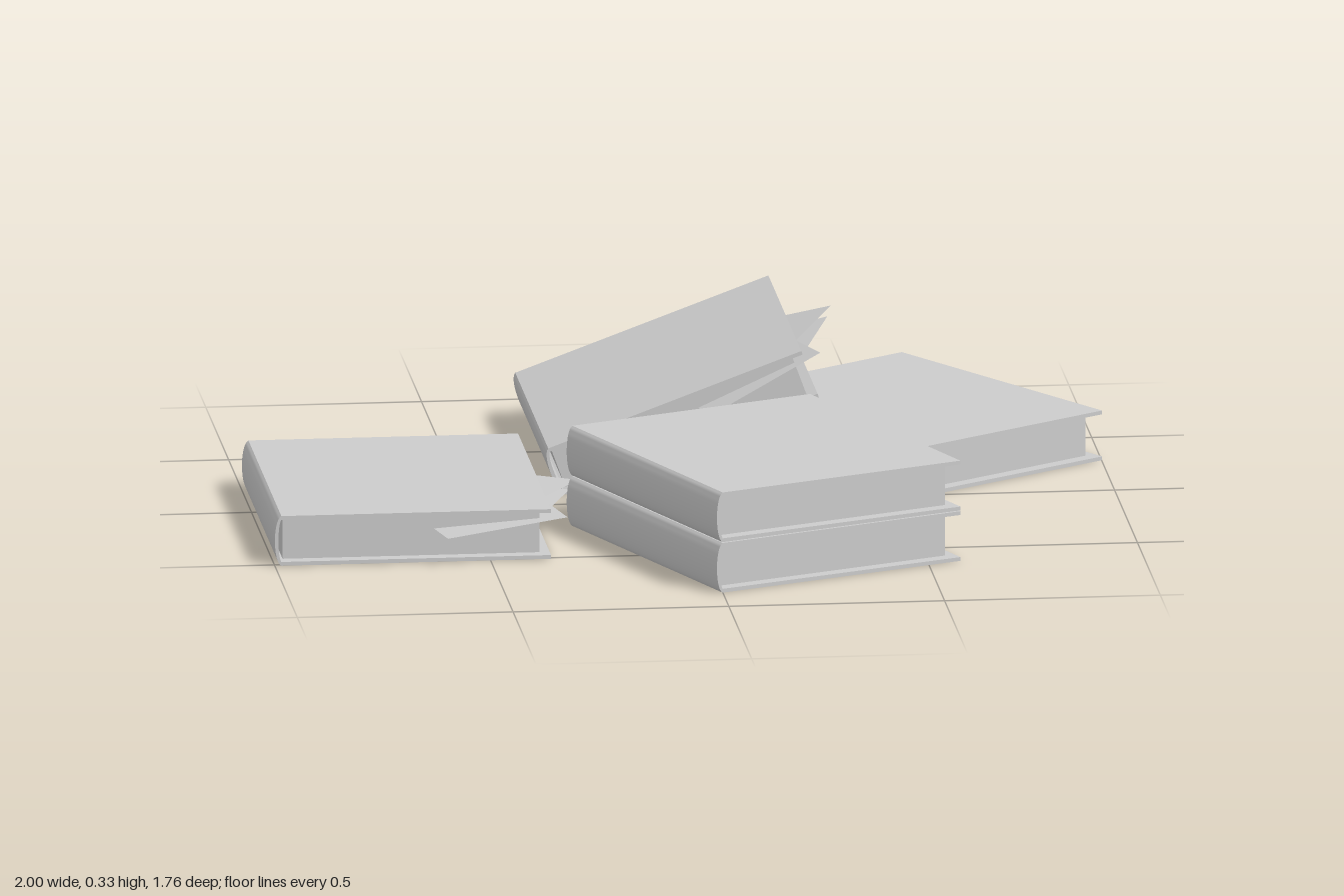
import * as THREE from 'three';
import { toCreasedNormals } from 'three/addons/utils/BufferGeometryUtils.js';

const H = 0.118, T = 0.009, DEPTH = 0.72;
const HINGE = -0.305, FORE = 0.32; // cover edges across the book

const grey = new THREE.MeshStandardMaterial({ color: 0xcccccc });
const paper = new THREE.MeshStandardMaterial({ color: 0xcccccc, side: THREE.DoubleSide });

function box(name, x0, x1, y0, y1, depth) {
  const mesh = new THREE.Mesh(new THREE.BoxGeometry(x1 - x0, y1 - y0, depth), grey);
  mesh.name = name;
  mesh.position.set((x0 + x1) / 2, (y0 + y1) / 2, 0);
  return mesh;
}

// Curved shell joining the two covers
function spine() {
  const s = new THREE.Shape();
  s.moveTo(HINGE, 0);
  s.bezierCurveTo(HINGE - 0.02, 0.01, HINGE - 0.02, H - 0.01, HINGE, H);
  s.lineTo(HINGE, H - T);
  s.bezierCurveTo(HINGE - 0.009, H - 0.02, HINGE - 0.009, 0.02, HINGE, T);
  s.closePath();
  const g = new THREE.ExtrudeGeometry(s, { depth: DEPTH, bevelEnabled: false, curveSegments: 14 });
  g.translate(0, 0, -DEPTH / 2);
  const mesh = new THREE.Mesh(toCreasedNormals(g, 0.6), grey);
  mesh.name = 'spine';
  return mesh;
}

function book(name) {
  const g = new THREE.Group();
  g.name = name;
  g.add(
    box('bottomCover', HINGE, FORE, 0, T, DEPTH),
    box('topCover', HINGE, FORE, H - T, H, DEPTH),
    box('pageBlock', HINGE + 0.006, FORE - 0.024, T, H - T, DEPTH - 0.06),
    spine()
  );
  return g;
}

// Flat sheet from one corner and its two edge vectors
function sheet(corner, a, b) {
  const c = new THREE.Vector3(...corner);
  const va = new THREE.Vector3(...a), vb = new THREE.Vector3(...b);
  const pts = [c, c.clone().add(va), c.clone().add(va).add(vb), c.clone().add(vb)];
  const g = new THREE.BufferGeometry().setFromPoints(pts);
  g.setIndex([0, 1, 2, 0, 2, 3]);
  g.computeVertexNormals();
  const mesh = new THREE.Mesh(g, paper);
  mesh.name = 'looseSheet';
  return mesh;
}

// Book with loose sheets sticking out of the pages
function stuffedBook(name) {
  const g = book(name);
  g.add(
    sheet([0.36, 0.094, 0.345], [-0.105, 0.012, -0.405], [-0.285, -0.025, 0.075]),
    sheet([0.425, 0.085, -0.04], [-0.235, -0.01, -0.18], [-0.23, -0.01, 0.345]),
    sheet([0.41, 0.05, -0.09], [-0.28, 0.01, -0.095], [-0.135, 0.01, 0.395])
  );
  return g;
}

export function createModel() {
  const root = new THREE.Group();
  root.name = 'bookPile';

  const left = stuffedBook('rightSideBook');
  left.position.set(-0.68, 0, 0.15);
  root.add(left);

  // Two books stacked in front
  for (let i = 0; i < 2; i++) {
    const b = book(i ? 'stackTopBook' : 'stackBottomBook');
    b.position.set(0.142, i * 0.12, 0.42);
    b.rotation.y = THREE.MathUtils.degToRad(22.7);
    root.add(b);
  }

  const back = book('backBook');
  back.position.set(0.535, 0, -0.405);
  back.rotation.y = THREE.MathUtils.degToRad(33.8);
  root.add(back);

  // Book leaning on the back book
  const leaning = stuffedBook('leaningBook');
  leaning.position.set(0.023, 0.108, -0.44);
  leaning.rotation.z = THREE.MathUtils.degToRad(20.2);
  root.add(leaning);

  return root;
}
